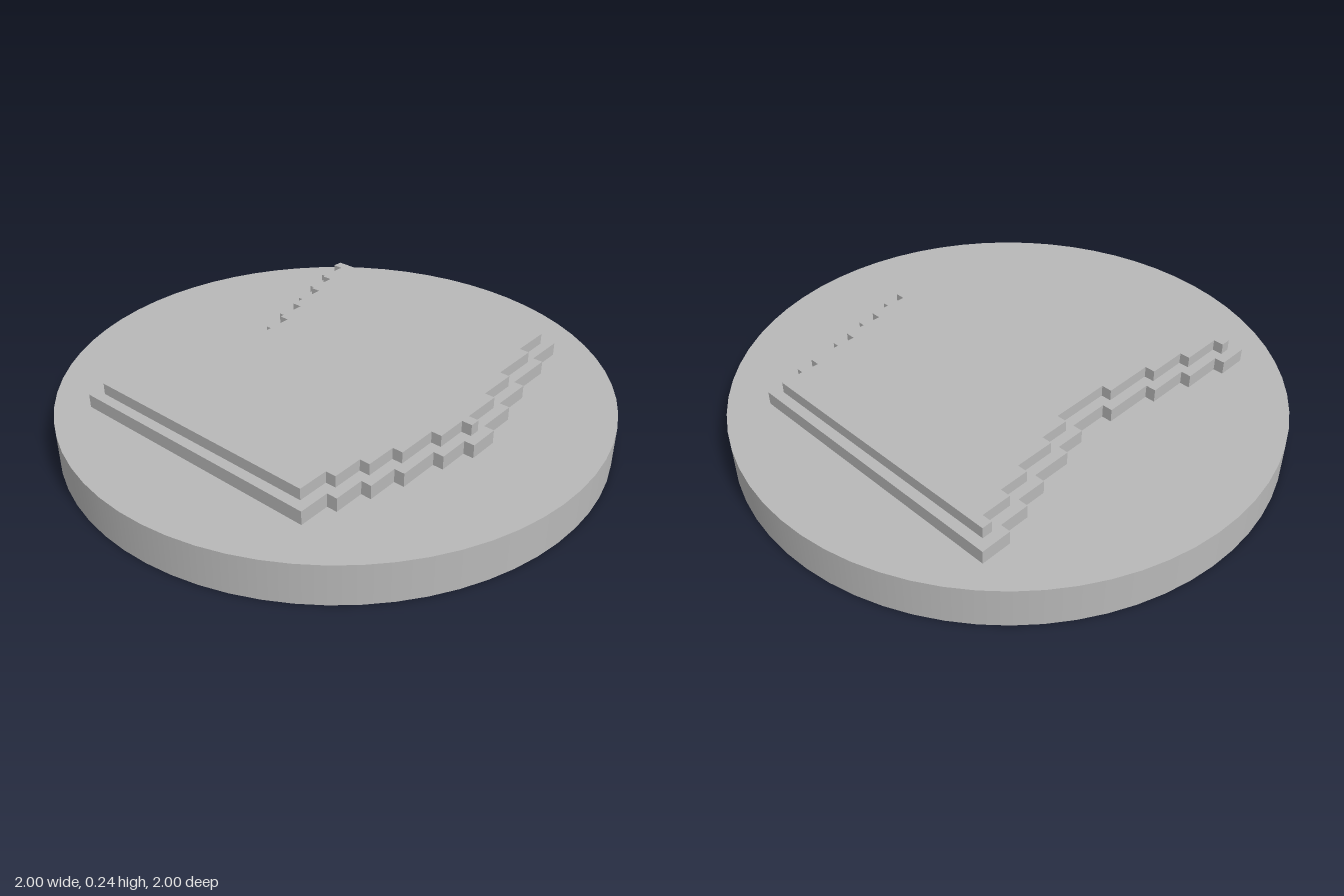
import * as THREE from 'three';

const CELL = 0.0383; // grid step of the stair-edged plates

// Edge positions along x and edge depth (z) between them, in cells
const BACK_X = [-18, -15, -11, -7, -2, 2, 5, 9, 12, 15, 18];
const BACK_Z = [-14, -13, -12, -11, -10, -11, -12, -13, -14, -15];
const FRONT_X = [-18, -15, -12, -9, -5, -2, 1, 5, 9, 14, 18];
const FRONT_Z = [12, 13, 14, 15, 16, 17, 16, 15, 14, 13];

// Stepped edge as points, pulled inward by a number of cells
function steppedEdge(xs, zs, inset, side) {
  const last = xs.length - 1;
  const moved = xs.map((x, i) => {
    const inward = i === 0 || i === last || side > 0;
    return x - Math.sign(x) * inset * (inward ? 1 : -1);
  });
  return zs.flatMap((z, i) => [moved[i], moved[i + 1]].map(
    (x) => new THREE.Vector2(x * CELL, -(z - side * inset) * CELL)));
}

// Flat plate with stepped front and back edges
function steppedPlate(name, inset, bottom, top, material) {
  const front = steppedEdge(FRONT_X, FRONT_Z, inset, 1);
  const back = steppedEdge(BACK_X, BACK_Z, inset, -1).reverse();
  const geometry = new THREE.ExtrudeGeometry(new THREE.Shape([...front, ...back]), {
    depth: top - bottom, bevelEnabled: false,
  });
  geometry.rotateX(-Math.PI / 2);
  const mesh = new THREE.Mesh(geometry, material);
  mesh.name = name;
  mesh.position.y = bottom;
  return mesh;
}

export function createModel() {
  const model = new THREE.Group();
  model.name = 'steppedPlaque';
  const grey = new THREE.MeshStandardMaterial({ color: 0xb8b8b8 });
  grey.name = 'grey';

  // Round base
  const base = new THREE.Mesh(new THREE.CylinderGeometry(1, 1, 0.15, 64), grey);
  base.name = 'roundBase';
  base.position.y = 0.075;
  model.add(base);

  // Two stacked plates, the upper one inset by one cell
  model.add(steppedPlate('lowerPlate', 0, 0.15, 0.2, grey));
  model.add(steppedPlate('upperPlate', 1, 0.2, 0.242, grey));
  return model;
}
